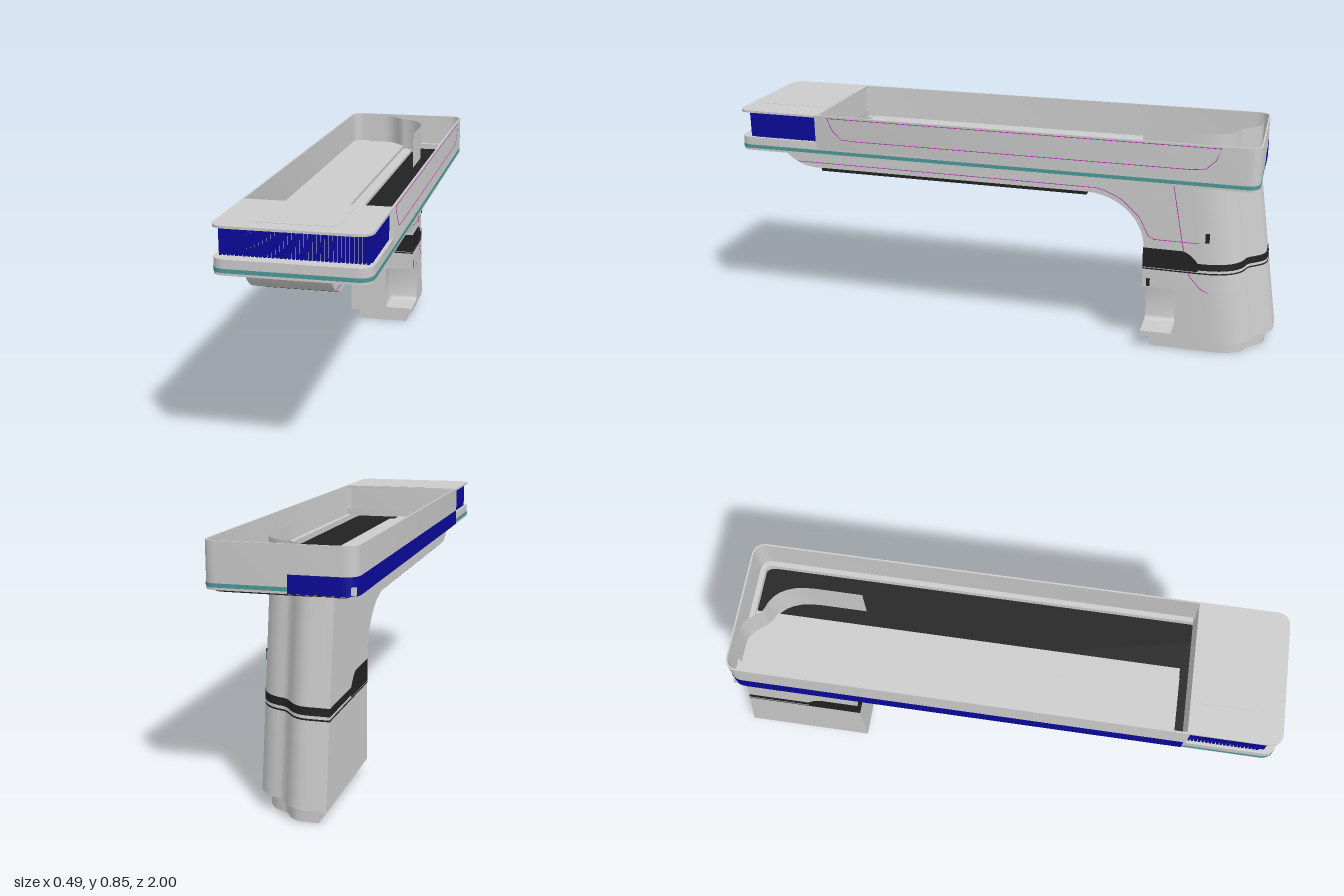
import * as THREE from 'three';
import { toCreasedNormals } from 'three/addons/utils/BufferGeometryUtils.js';

const mat = (color) => new THREE.MeshStandardMaterial({ color, side: THREE.DoubleSide });
const grey = mat(0xcccccc), black = mat(0x222222), blue = mat(0x0a0a9a);
const teal = mat(0x4d9999), magenta = mat(0xbb22bb);
const V2 = (x, z) => new THREE.Vector2(x, z);

export function createModel() {
  const model = new THREE.Group();

  const add = (name, geometry, material = grey) => {
    const mesh = new THREE.Mesh(geometry, material);
    mesh.name = name;
    model.add(mesh);
    return mesh;
  };
  const box = (name, x0, x1, y0, y1, z0, z1, material) => add(name,
    new THREE.BoxGeometry(x1 - x0, y1 - y0, z1 - z0)
      .translate((x0 + x1) / 2, (y0 + y1) / 2, (z0 + z1) / 2), material);

  // Plan outline with separate back and front corner radii (path y = -z)
  const outline = (path, x0, x1, z0, z1, rb, rf) => {
    const t = -z0, b = -z1;
    path.moveTo(x0 + rf, b).lineTo(x1 - rf, b);
    path.quadraticCurveTo(x1, b, x1, b + rf).lineTo(x1, t - rb);
    path.quadraticCurveTo(x1, t, x1 - rb, t).lineTo(x0 + rb, t);
    path.quadraticCurveTo(x0, t, x0, t - rb).lineTo(x0, b + rf);
    path.quadraticCurveTo(x0, b, x0 + rf, b);
    return path;
  };
  // Flat slab, or a ring when wall > 0
  const slab = (name, [x0, x1, z0, z1], [rb, rf], y0, y1, material, wall = 0) => {
    const shape = outline(new THREE.Shape(), x0, x1, z0, z1, rb, rf);
    if (wall) {
      shape.holes.push(outline(new THREE.Path(), x0 + wall, x1 - wall, z0 + wall, z1 - wall,
        Math.max(rb - wall, 0.002), Math.max(rf - wall, 0.002)));
    }
    const g = new THREE.ExtrudeGeometry(shape, { depth: y1 - y0, bevelEnabled: false, curveSegments: 8 });
    g.rotateX(-Math.PI / 2).translate(0, y0, 0);
    return add(name, toCreasedNormals(g, 0.6), material);
  };

  // Surface through horizontal sections, one per level
  const loft = (name, levels, section, material = grey, capped = true) => {
    const rows = levels.map((y) => section(y));
    const n = rows[0].length, pos = [], idx = [];
    rows.forEach((row, k) => row.forEach((p) => pos.push(p.x, levels[k], p.y)));
    for (let k = 0; k < rows.length - 1; k++) {
      for (let i = 0; i < n; i++) {
        const a = k * n + i, b = k * n + (i + 1) % n;
        idx.push(a, b, b + n, a, b + n, a + n);
      }
    }
    if (capped) {
      const top = (rows.length - 1) * n;
      const plan = (row) => row.map((p) => V2(p.x, -p.y));
      THREE.ShapeUtils.triangulateShape(plan(rows[0]), []).forEach(([a, b, c]) => idx.push(a, c, b));
      THREE.ShapeUtils.triangulateShape(plan(rows.at(-1)), [])
        .forEach(([a, b, c]) => idx.push(top + a, top + b, top + c));
    }
    const g = new THREE.BufferGeometry();
    g.setAttribute('position', new THREE.Float32BufferAttribute(pos, 3));
    g.setIndex(idx);
    return add(name, toCreasedNormals(g, 0.6), material);
  };

  // Upright open strip along a plan path
  const strip = (name, pts, y0, y1, material) => {
    const g = new THREE.PlaneGeometry(1, 1, pts.length - 1, 1), p = g.attributes.position;
    for (let i = 0; i < p.count; i++) {
      const q = pts[i % pts.length];
      p.setXYZ(i, q.x, i < pts.length ? y1 : y0, q.y);
    }
    g.computeVertexNormals();
    return add(name, g, material);
  };

  // Stepped rear outline of the leg, from left side to right side
  const rear = (zb) => [
    ...new THREE.CubicBezierCurve(V2(0.1, zb + 0.23), V2(0.1, zb + 0.12), V2(0.05, zb + 0.08), V2(0, zb + 0.07)).getPoints(8),
    ...new THREE.CubicBezierCurve(V2(0, zb + 0.07), V2(-0.03, zb + 0.06), V2(-0.04, zb), V2(-0.1, zb)).getPoints(8).slice(1),
    V2(-0.17, zb),
  ];
  const rearZ = (y) => -1 + (y - 0.05) * 0.156;
  const frontZ = (y) => {
    if (y <= 0.4) return -0.52;
    const s = Math.min((y - 0.4) / 0.2, 1);
    return -0.3 - 0.22 * Math.sqrt(1 - s * s);
  };
  const legSection = (y) => [V2(0.1, frontZ(y)), ...rear(rearZ(y)), V2(-0.17, frontZ(y))];
  // Pocket cut into the front left edge, its far corners rounded
  const pocketSection = (y) => {
    const d = Math.max(0, 1 - Math.min(y - 0.07, 0.25 - y) / 0.016);
    const r = 0.016 * (1 - Math.sqrt(1 - d * d));
    return [V2(-0.015 + r, -0.52), V2(-0.015 + r, -0.645 + r), V2(0.1, -0.645 + r),
      ...rear(rearZ(y)), V2(-0.17, -0.52)];
  };

  // Leg: foot, pocket level, and upper part curving into the arm
  loft('legFoot', [0.05, 0.07], legSection);
  loft('legPocket', [0.07, 0.072, 0.076, 0.086, 0.234, 0.244, 0.248, 0.25], pocketSection);
  const arc = Array.from({ length: 13 }, (_, i) => 0.4 + 0.2 * Math.sin((i / 12) * Math.PI / 2));
  loft('legUpper', [0.25, ...arc, 0.7], legSection);
  loft('legPlug', [0, 0.05], () => legSection(0.05).map((p) =>
    V2(-0.0335 + (p.x + 0.035) * 0.767, -0.76 + (p.y + 0.76) * 0.875)), grey, false);

  // Black band around the leg, deeper at the front
  const grow = (k) => (y) => legSection(y).map((p) => V2(-0.035 + (p.x + 0.035) * k, -0.74 + (p.y + 0.74) * k));
  loft('legBand', [0.337, 0.362], grow(1.006), black);
  loft('legSeam', [0.322, 0.327], grow(1.004), black);
  const side = (name, shape, x0, x1, material) => {
    const g = new THREE.ExtrudeGeometry(shape, { depth: x1 - x0, bevelEnabled: false, curveSegments: 10 });
    g.rotateY(-Math.PI / 2).translate(x1, 0, 0); // shape x becomes z
    return add(name, toCreasedNormals(g, 0.6), material);
  };
  const collar = new THREE.Shape().moveTo(-0.518, 0.33).lineTo(-0.518, 0.405).lineTo(-0.66, 0.405);
  collar.quadraticCurveTo(-0.69, 0.4, -0.72, 0.36).lineTo(-0.72, 0.33);
  side('legCollar', collar, -0.171, 0.101, black);

  // Arm beneath the tray with a rounded nose
  const arm = new THREE.Shape().moveTo(-0.31, 0.6).lineTo(0.77, 0.6);
  arm.quadraticCurveTo(0.87, 0.605, 0.92, 0.7).lineTo(-0.31, 0.7);
  side('arm', arm, -0.17, 0.1, grey);
  box('armPad', -0.15, 0.085, 0.583, 0.6, -0.3, 0.75, black);

  // Tray base, rim and walls
  const full = [-0.245, 0.245, -0.92, 1];
  slab('underPlate', [-0.22, 0.22, -0.9, 0.975], [0.04, 0.04], 0.69, 0.703, black);
  slab('trayRim', full, [0.05, 0.05], 0.698, 0.725, grey, 0.025);
  slab('rimBand', [-0.246, 0.246, -0.921, 1.001], [0.05, 0.05], 0.706, 0.719, teal, 0.004);
  slab('trayWall', [-0.245, 0.245, -0.92, 0.69], [0.05, 0.002], 0.72, 0.85, grey, 0.006);
  slab('floorPanel', [-0.24, 0, -0.915, 0.65], [0.002, 0.002], 0.702, 0.727, grey);
  box('floorLedge', 0, 0.04, 0.702, 0.715, -0.9, 0.65, grey);

  // Leg skin rising inside the tray
  strip('legGuide', [V2(0.1, -0.5), ...rear(-0.9)], 0.7, 0.845, grey);

  // Blue strip low on the right wall, wrapping the back corner
  strip('sideStrip', [V2(-0.2465, 0.68), V2(-0.2465, -0.87),
    ...new THREE.QuadraticBezierCurve(V2(-0.2465, -0.87), V2(-0.2465, -0.922), V2(-0.195, -0.922)).getPoints(8),
    V2(-0.03, -0.922)], 0.699, 0.758, blue);

  // Front head: shelf, core, cover and blue fins
  const head = [-0.245, 0.245, 0.68, 1];
  slab('headShelf', head, [0.002, 0.05], 0.72, 0.748, grey);
  slab('headCore', [-0.222, 0.222, 0.68, 0.945], [0.002, 0.04], 0.748, 0.842, grey);
  slab('headCover', head, [0.002, 0.05], 0.842, 0.85, grey);
  slab('coverPanel', [-0.13, 0.13, 0.69, 0.94], [0.01, 0.01], 0.85, 0.8512, grey);
  for (let i = -18; i <= 18; i++) {
    box('frontFin', i * 0.0125 - 0.004, i * 0.0125 + 0.004, 0.748, 0.842, 0.92, 0.958, blue);
  }
  for (const s of [-1, 1]) {
    for (let i = 0; i < 20; i++) {
      const z = 0.697 + i * 0.0125;
      box('sideFin', s * 0.222 - 0.012, s * 0.222 + 0.012, 0.748, 0.842, z - 0.004, z + 0.004, blue);
    }
  }

  // Fine panel lines on the left side, given as [z, y]
  const line = (name, x, pts) => {
    const path = new THREE.CurvePath();
    const v = pts.map(([z, y]) => new THREE.Vector3(x, y, z));
    for (let i = 1; i < v.length; i++) path.add(new THREE.LineCurve3(v[i - 1], v[i]));
    add(name, new THREE.TubeGeometry(path, 60, 0.0012, 4), magenta);
  };
  line('wallLine', 0.245, [[0.64, 0.842], [0.61, 0.775], [0.58, 0.762], [-0.72, 0.762], [-0.76, 0.775], [-0.79, 0.842], [0.64, 0.842]]);
  line('legLine', 0.1, [[-0.61, 0.69], [-0.66, 0.43], [-0.69, 0.31], [-0.73, 0.265], [-0.76, 0.25]]);
  line('armLine', 0.1, [[0.84, 0.62], [-0.35, 0.618], [-0.43, 0.585], [-0.5, 0.52], [-0.54, 0.44], [-0.72, 0.44]]);

  // Small latches on the leg
  box('pocketLatch', 0.095, 0.1015, 0.255, 0.285, -0.548, -0.535, black);
  box('legLatch', 0.08, 0.1015, 0.445, 0.48, -0.755, -0.74, black);
  return model;
}
